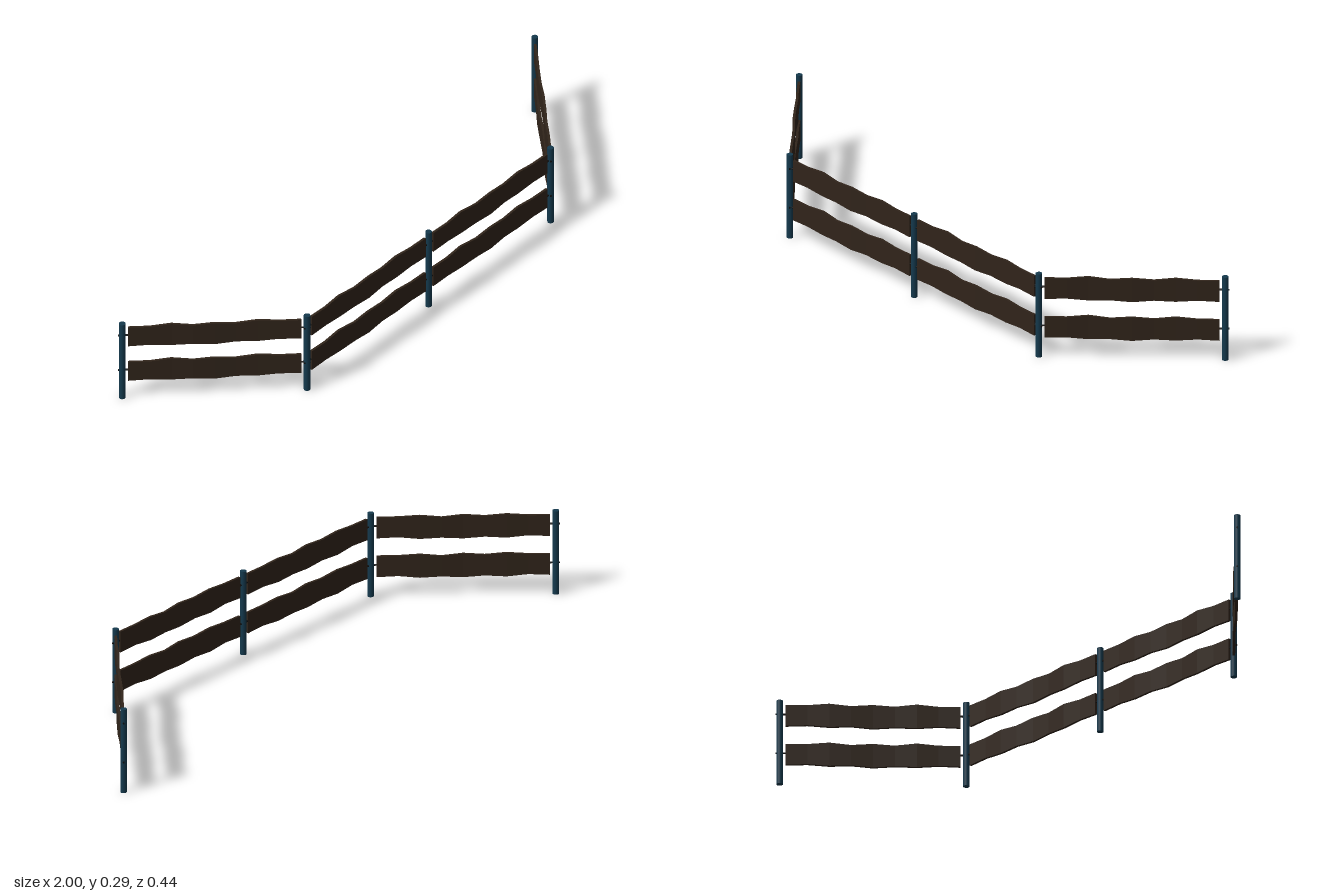
import * as THREE from 'three';

export function createModel() {
  const group = new THREE.Group();
  const wood = new THREE.MeshStandardMaterial({ color: 0x30241a, flatShading: true });
  const metal = new THREE.MeshStandardMaterial({ color: 0x14394d });
  const dark = new THREE.MeshStandardMaterial({ color: 0x0c0c0c });

  // Post positions (x, z), from the right end round to the left end
  const posts = [[-0.99, -0.199], [-0.58, 0.209], [0, 0.209], [0.582, 0.209], [0.989, -0.208]];
  const height = 0.287;
  const rails = [0.102, 0.236];

  // Wavy edge of a plank, sampled at nine stations
  const topWave = [0, 0, 0.006, -0.001, 0.004, -0.002, 0.005, 0, 0];
  const bottomWave = [0, 0.003, -0.003, 0, -0.005, 0, -0.003, 0.003, 0];
  const depthWave = [0, 0.001, -0.001, 0.002, 0.002, -0.001, -0.002, 0, 0];

  function plankGeometry(length) {
    const geo = new THREE.BoxGeometry(length, 0.072, 0.008, 8, 1, 1);
    const p = geo.attributes.position;
    for (let i = 0; i < p.count; i++) {
      const k = Math.round((p.getX(i) / length + 0.5) * 8);
      const wave = p.getY(i) > 0 ? topWave : bottomWave;
      p.setY(i, p.getY(i) + wave[k]);
      p.setZ(i, p.getZ(i) + depthWave[k]);
    }
    geo.computeVertexNormals();
    return geo;
  }

  // Round posts
  const postGeo = new THREE.CylinderGeometry(0.0105, 0.0105, height, 12);
  for (const [x, z] of posts) {
    const post = new THREE.Mesh(postGeo, metal);
    post.name = 'post';
    post.position.set(x, height / 2, z);
    group.add(post);
  }

  // Fence panels: two planks each, pinned to the posts at both ends
  for (let i = 0; i < 4; i++) {
    const [x0, z0] = posts[i];
    const [x1, z1] = posts[i + 1];
    const span = Math.hypot(x1 - x0, z1 - z0);
    const panel = new THREE.Group();
    panel.name = 'panel';
    panel.position.set((x0 + x1) / 2, 0, (z0 + z1) / 2);
    panel.rotation.y = -Math.atan2(z1 - z0, x1 - x0);
    const plankGeo = plankGeometry(span - 0.036);
    for (const y of rails) {
      const plank = new THREE.Mesh(plankGeo, wood);
      plank.name = 'plank';
      plank.position.y = y;
      panel.add(plank);
      for (const side of [-1, 1]) {
        const pin = new THREE.Mesh(new THREE.CylinderGeometry(0.003, 0.003, 0.042, 8), dark);
        pin.name = 'pin';
        pin.rotation.z = Math.PI / 2;
        pin.position.set(side * (span / 2 - 0.008), y + 0.005, 0);
        panel.add(pin);
      }
    }
    group.add(panel);
  }
  return group;
}
